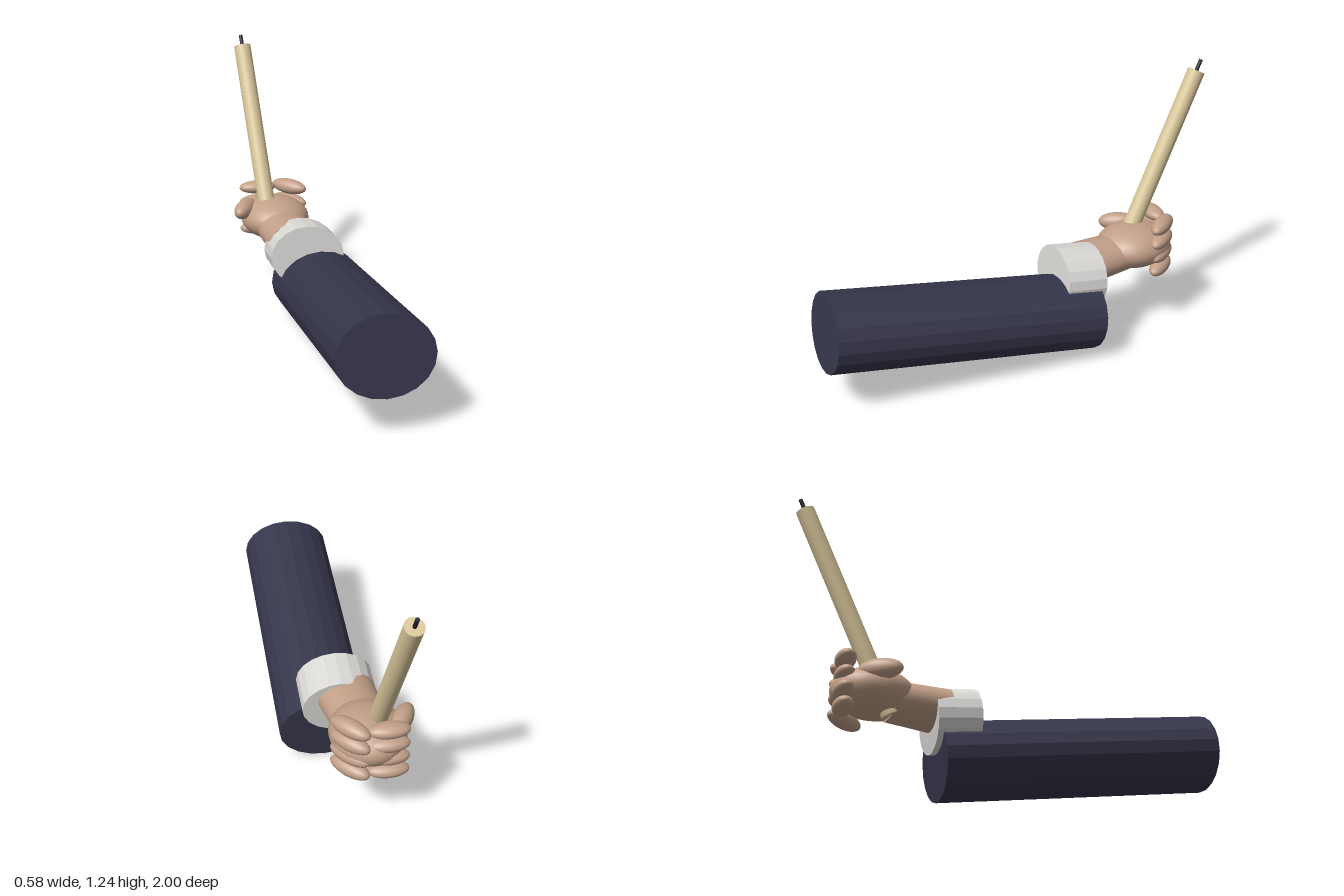
import * as THREE from 'three';

const mat = (name, color, extra = {}) => {
  const m = new THREE.MeshStandardMaterial({ color, ...extra });
  m.name = name;
  return m;
};

export function createModel() {
  const model = new THREE.Group();
  const navy = mat('navy cloth', 0x36364c, { flatShading: true });
  const white = mat('white cuff', 0xdcdad7, { flatShading: true });
  const skin = mat('skin', 0xc29f88);
  const cream = mat('cream stick', 0xdac89b);
  const dark = mat('dark wick', 0x20202c);

  // Capped rod from point a to point b, with an oval section
  function rod(name, material, a, b, ra, rb, flatten = 1, sides = 20) {
    const start = new THREE.Vector3(...a), end = new THREE.Vector3(...b);
    const geo = new THREE.CylinderGeometry(rb, ra, start.distanceTo(end), sides);
    geo.rotateX(Math.PI / 2);
    geo.scale(1, flatten, 1);
    const mesh = new THREE.Mesh(geo, material);
    mesh.name = name;
    mesh.position.copy(start).add(end).multiplyScalar(0.5);
    mesh.lookAt(end);
    model.add(mesh);
  }

  // Smooth ellipsoid, turned about the vertical
  function blob(name, center, radii, yaw = 0, roll = 0) {
    const mesh = new THREE.Mesh(new THREE.SphereGeometry(1, 28, 20), skin);
    mesh.name = name;
    mesh.position.set(...center);
    mesh.scale.set(...radii);
    mesh.rotation.set(0, yaw, roll);
    model.add(mesh);
  }

  // Arm
  rod('sleeve', navy, [-0.088, 0.352, 0.968], [0.085, 0.174, -0.272], 0.206, 0.206, 0.835);
  rod('cuff', white, [0.003, 0.352, -0.135], [0.03, 0.33, -0.325], 0.171, 0.171, 0.82);
  rod('wrist', skin, [-0.002, 0.373, -0.28], [-0.002, 0.378, -0.52], 0.135, 0.12, 0.69, 32);

  // Hand
  blob('palm', [0, 0.398, -0.595], [0.165, 0.102, 0.185]);
  blob('thumb', [-0.145, 0.45, -0.615], [0.045, 0.045, 0.1], -0.66);
  [0.517, 0.443, 0.374, 0.303].forEach((y, i) => {
    blob('finger' + (i + 1), [0.106, y, -0.68], [0.042, 0.037, 0.101], 0.58);
    blob('fingertip' + (i + 1), [-0.043, y - 0.003, -0.735], [0.09, 0.032, 0.045], -0.15);
  });

  // Stick held in the fist, with a wick at its upper end
  rod('stick', cream, [-0.038, 0.3, -0.525], [-0.038, 1.187, -0.955], 0.041, 0.041, 1, 24);
  rod('wick', dark, [-0.038, 1.17, -0.947], [-0.038, 1.236, -0.979], 0.009, 0.009, 1, 10);

  return model;
}
